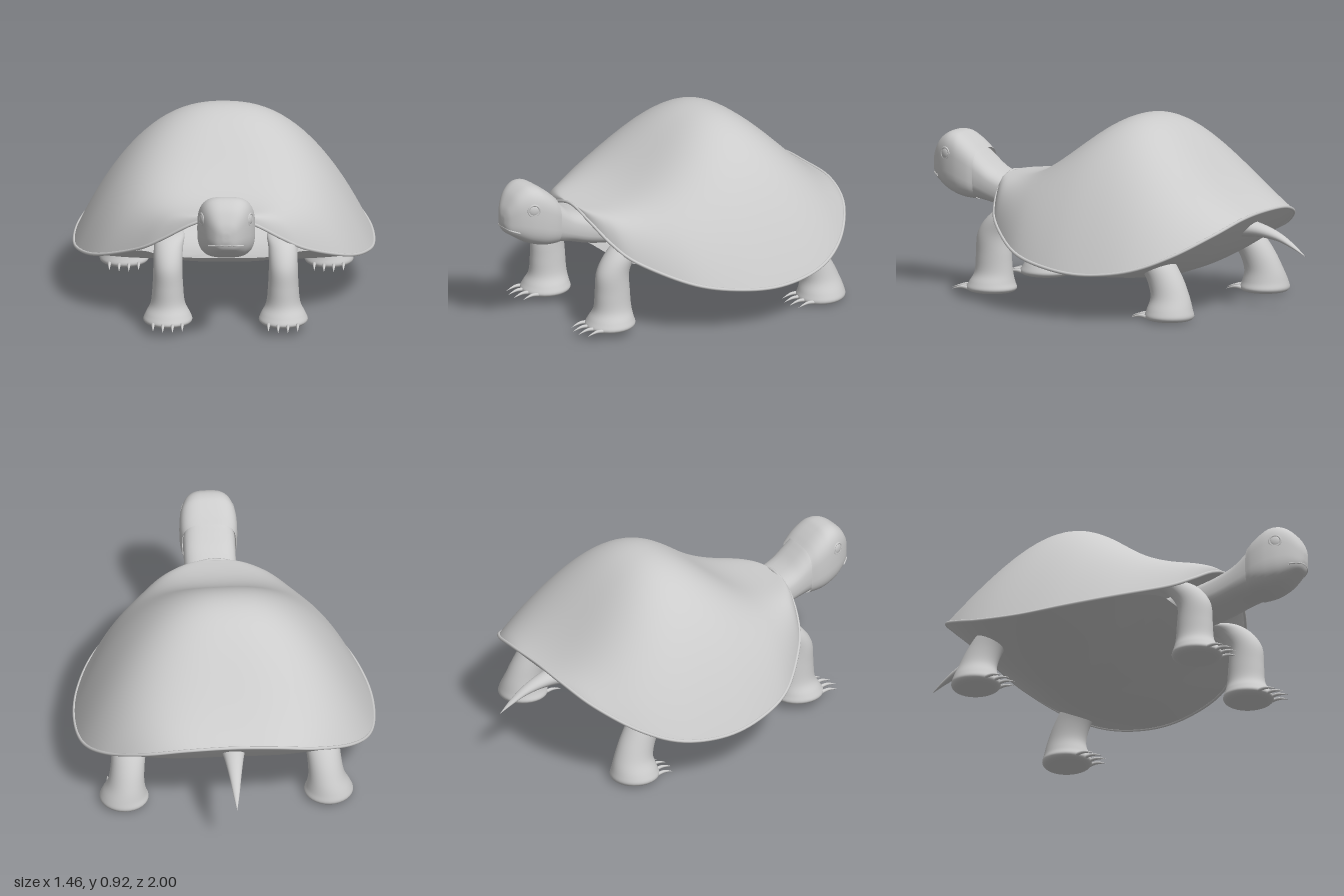
import * as THREE from 'three';

const material = new THREE.MeshStandardMaterial({ color: 0xcccccc, roughness: 0.8, side: THREE.DoubleSide });
const V = (x, y, z) => new THREE.Vector3(x, y, z);

function addMesh(parent, name, geometry) {
  const mesh = new THREE.Mesh(geometry, material);
  mesh.name = name;
  parent.add(mesh);
  return mesh;
}

// Smooth skin over rows of equal length, closed into loops unless told otherwise
function skin(rows, closed = true) {
  const n = rows[0].length, pos = [], index = [];
  rows.forEach(r => r.forEach(p => pos.push(p.x, p.y, p.z)));
  for (let i = 0; i < rows.length - 1; i++) {
    for (let j = 0; j < (closed ? n : n - 1); j++) {
      const a = i * n + j, b = i * n + (j + 1) % n;
      index.push(a, b, a + n, b, b + n, a + n);
    }
  }
  const g = new THREE.BufferGeometry();
  g.setAttribute('position', new THREE.Float32BufferAttribute(pos, 3));
  g.setIndex(index);
  g.computeVertexNormals();
  return g;
}

// Superellipse loft along 'y' or 'z'; sections are [x, y, z, radiusX, other radius]
function loft(axis, sections, power = 2, steps = 5, n = 32) {
  const centres = new THREE.CatmullRomCurve3(sections.map(s => V(s[0], s[1], s[2])), false, 'catmullrom');
  const radii = new THREE.CatmullRomCurve3(sections.map(s => V(s[3], s[4], 0)), false, 'catmullrom');
  const bend = v => Math.sign(v) * Math.abs(v) ** (2 / power);
  const count = (sections.length - 1) * steps, rings = [];
  for (let i = 0; i <= count; i++) {
    const c = centres.getPoint(i / count), r = radii.getPoint(i / count);
    rings.push(Array.from({ length: n }, (_, j) => {
      const t = j / n * Math.PI * 2;
      const u = bend(Math.cos(t)) * Math.max(r.x, 0), v = bend(Math.sin(t)) * Math.max(r.y, 0);
      return axis === 'z' ? V(c.x + u, c.y + v, c.z) : V(c.x + u, c.y, c.z - v);
    }));
  }
  return skin(rings);
}

// Closed rim curve from a front-to-back half outline
function rimCurve(half) {
  const right = half.map(p => V(...p));
  const left = half.slice(1, -1).reverse().map(([x, y, z]) => V(-x, y, z));
  return new THREE.CatmullRomCurve3([...right, ...left], true, 'catmullrom');
}

// Height of the shell's centre line: sweeps down to the neck, rounder to the tail
function ridge(z) {
  const dz = z + 0.17, t = Math.min(Math.abs(dz) / (dz > 0 ? 0.757 : 0.608), 1);
  const bell = 0.5 + 0.5 * Math.cos(Math.PI * t);
  return dz > 0 ? 0.585 + 0.337 * bell ** 1.45 : 0.485 + 0.437 * (0.7 * bell + 0.3 * (1 - t ** 2.3));
}

function addShell(group) {
  const sides = [[0.6, 0.29, 0.27], [0.695, 0.245, 0.05], [0.724, 0.23, -0.17], [0.695, 0.26, -0.4],
    [0.595, 0.33, -0.58], [0.42, 0.42, -0.72], [0.22, 0.475, -0.775], [0, 0.485, -0.778]];
  const rim = rimCurve([[0, 0.585, 0.587], [0.15, 0.54, 0.58], [0.29, 0.455, 0.54], [0.41, 0.38, 0.465], ...sides]);

  // Dome: arches across the shell from rim to rim, squarer towards both ends
  const M = 88, N = 56, dome = [];
  for (let i = 0; i <= M; i++) {
    const edge = rim.getPoint(i / M / 2), top = ridge(edge.z), dz = edge.z + 0.17;
    const power = 2.35 + (dz > 0 ? 7 : 5) * dz * dz;
    dome.push(Array.from({ length: N + 1 }, (_, j) => {
      const s = Math.sin((j / N - 0.5) * Math.PI);
      return V(edge.x * s, edge.y + (top - edge.y) * (1 - Math.abs(s) ** power), edge.z);
    }));
  }
  addMesh(group, 'carapace', skin(dome, false));
  addMesh(group, 'shellRim', new THREE.TubeGeometry(rim, 140, 0.008, 8, true));

  // Belly plate, lower at the front to leave the neck opening
  const lip = rimCurve([[0, 0.33, 0.45], [0.15, 0.33, 0.45], [0.3, 0.34, 0.44], [0.4, 0.35, 0.4], ...sides]);
  const low = V(0, 0.148, -0.28), belly = [];
  for (let i = 0; i <= 28; i++) {
    const t = i / 28;
    belly.push(Array.from({ length: 110 }, (_, j) => {
      const p = lip.getPoint(j / 110);
      return V(p.x * t, low.y + (p.y - low.y) * t ** 1.8, low.z + (p.z - low.z) * t);
    }));
  }
  addMesh(group, 'bellyPlate', skin(belly));
}

function addHead(group) {
  const x = 0.018;
  // [z, bottom, top, half width]
  const section = ([z, lo, hi, w]) => [x, (lo + hi) / 2, z, w, (hi - lo) / 2];
  const neck = [[0.1, 0.36, 0.48, 0.11], [0.3, 0.36, 0.5, 0.13], [0.45, 0.375, 0.53, 0.13], [0.56, 0.397, 0.56, 0.127],
    [0.65, 0.425, 0.597, 0.126], [0.71, 0.437, 0.645, 0.126], [0.75, 0.444, 0.68, 0.126], [0.79, 0.46, 0.7, 0.12]];
  addMesh(group, 'neck', loft('z', neck.map(section), 2.8));
  const head = [[0.738, 0.44, 0.683, 0.13], [0.77, 0.442, 0.712, 0.138], [0.81, 0.446, 0.742, 0.14], [0.85, 0.456, 0.763, 0.135],
    [0.9, 0.476, 0.762, 0.119], [0.95, 0.508, 0.728, 0.09], [0.985, 0.535, 0.672, 0.055], [0.998, 0.57, 0.63, 0.024], [1, 0.6, 0.6, 0]];
  addMesh(group, 'head', loft('z', head.map(section), 3.2, 6, 48));

  for (const s of [-1, 1]) {
    const eye = new THREE.Group();
    eye.name = s > 0 ? 'leftEye' : 'rightEye';
    eye.position.set(x + s * 0.116, 0.662, 0.892);
    eye.rotation.y = s * 1.2;
    addMesh(eye, 'eyelid', new THREE.TorusGeometry(0.028, 0.006, 8, 24));
    addMesh(eye, 'eyeball', new THREE.SphereGeometry(0.026, 20, 14)).scale.z = 0.35;
    group.add(eye);
  }
  // Mouth line wrapping the snout
  const mouth = new THREE.CatmullRomCurve3([[-0.084, 0.545, 0.95], [-0.051, 0.555, 0.983], [0, 0.562, 0.993],
    [0.051, 0.555, 0.983], [0.084, 0.545, 0.95]].map(([dx, y, z]) => V(x + dx, y, z)));
  addMesh(group, 'mouth', new THREE.TubeGeometry(mouth, 24, 0.005, 6));
}

// Legs: [offset x, y, z, radius x, radius z]
const FRONT = [[0, 0.032, 0.555, 0, 0], [0, 0.034, 0.555, 0.085, 0.09], [0, 0.052, 0.556, 0.118, 0.124], [0, 0.085, 0.552, 0.108, 0.113],
  [0, 0.135, 0.543, 0.083, 0.096], [0, 0.22, 0.543, 0.074, 0.09], [0, 0.32, 0.54, 0.07, 0.085], [-0.003, 0.4, 0.49, 0.07, 0.085],
  [-0.012, 0.45, 0.42, 0.065, 0.08], [-0.016, 0.465, 0.38, 0, 0]];
const HIND = [[0, 0.004, -0.528, 0, 0], [0, 0.006, -0.528, 0.085, 0.09], [0, 0.024, -0.528, 0.118, 0.12], [0, 0.06, -0.53, 0.108, 0.113],
  [-0.01, 0.12, -0.527, 0.088, 0.097], [-0.02, 0.2, -0.495, 0.082, 0.092], [-0.03, 0.28, -0.44, 0.085, 0.092], [-0.04, 0.35, -0.37, 0.085, 0.09]];

function addLeg(group, name, side, x, sections) {
  const leg = new THREE.Group();
  leg.name = name;
  leg.position.x = x;
  addMesh(leg, 'legAndFoot', loft('y', sections.map(([dx, ...rest]) => [side * dx, ...rest])));
  const [, y, z, rx, rz] = sections[2];
  for (let i = 0; i < 4; i++) {
    const dx = (i - 1.5) * 0.047, reach = rz * Math.sqrt(1 - (dx / rx) ** 2);
    const base = z + reach - 0.02;
    const claw = [[dx, y, base, 0.01, 0.01], [dx, y + 0.006, base + 0.04, 0.008, 0.008],
      [dx, y + 0.002, base + 0.07, 0.005, 0.005], [dx, y - 0.008, base + 0.1, 0, 0]];
    addMesh(leg, 'claw', loft('z', claw, 2, 3, 10));
  }
  group.add(leg);
}

export function createModel() {
  const group = new THREE.Group();
  group.name = 'tortoise';
  addShell(group);
  addHead(group);
  for (const s of [-1, 1]) {
    const label = s > 0 ? 'Left' : 'Right';
    addLeg(group, 'front' + label + 'Leg', s, 0.013 + s * 0.279, FRONT);
    addLeg(group, 'hind' + label + 'Leg', s, 0.01 + s * 0.495, HIND);
  }
  // Tail tapering back and down
  const tail = [[-1, 0.275, 0], [-0.93, 0.322, 0.013], [-0.85, 0.363, 0.024], [-0.75, 0.389, 0.037], [-0.65, 0.395, 0.05], [-0.5, 0.385, 0.055]];
  addMesh(group, 'tail', loft('z', tail.map(([z, y, r]) => [-0.015, y, z, r * 1.2, r * 0.9]), 2, 5, 24));
  return group;
}
